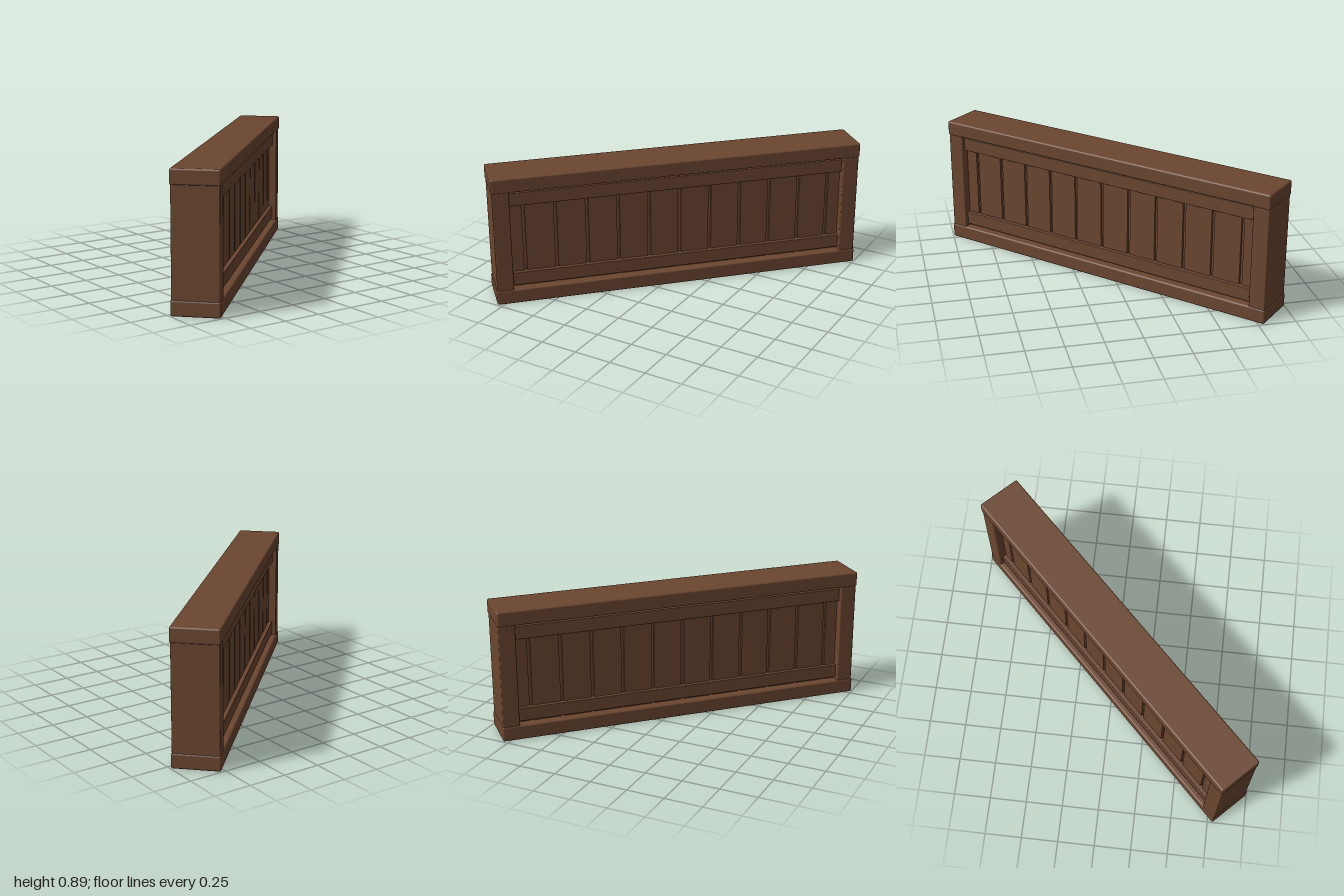
import * as THREE from 'three';
import { RoundedBoxGeometry } from 'three/addons/geometries/RoundedBoxGeometry.js';

const LENGTH = 2.522, DEPTH = 0.306, HEIGHT = 0.89;
const RAIL = 0.1;          // height of plinth and cap
const POST_IN = 1.145;     // inner edge of the end posts
const GROOVE = 0.02, PITCH = 0.2107, GROOVES = 11;

export function createModel() {
  const wood = new THREE.MeshStandardMaterial({ color: 0x6b4630 });
  wood.name = 'brown wood';

  const model = new THREE.Group();
  model.name = 'panelledCounter';

  const add = (name, geometry, x, y, z) => {
    const mesh = new THREE.Mesh(geometry, wood);
    mesh.name = name;
    mesh.position.set(x, y, z);
    model.add(mesh);
  };
  const rounded = (w, h, d, r) => new RoundedBoxGeometry(w, h, d, 2, r);

  // Plinth and cap, slightly proud of the posts
  add('plinth', rounded(LENGTH, RAIL, DEPTH, 0.012), 0, RAIL / 2, 0);
  add('cap', rounded(LENGTH, RAIL, DEPTH, 0.012), 0, HEIGHT - RAIL / 2, 0);

  // End posts
  const postW = LENGTH / 2 - 0.005 - POST_IN;
  const postH = HEIGHT - 2 * RAIL + 0.04;
  for (const side of [-1, 1]) {
    add('endPost', rounded(postW, postH, DEPTH - 0.01, 0.008),
      side * (POST_IN + postW / 2), HEIGHT / 2, 0);
  }

  // Core seen at the bottom of the grooves
  const innerH = HEIGHT - 2 * RAIL + 0.02;
  add('core', new THREE.BoxGeometry(2 * POST_IN + 0.02, innerH, 0.15), 0, HEIGHT / 2, 0);

  // Board edges: the two posts with the evenly spaced grooves between them
  const grooves = Array.from({ length: GROOVES }, (_, i) => (i - (GROOVES - 1) / 2) * PITCH);
  const starts = [-POST_IN, ...grooves.map((g) => g + GROOVE / 2)];
  const ends = [...grooves.map((g) => g - GROOVE / 2), POST_IN];

  for (const face of [-1, 1]) {
    // Vertical boards
    starts.forEach((start, i) => {
      add('board', new THREE.BoxGeometry(ends[i] - start, innerH, 0.03),
        (start + ends[i]) / 2, HEIGHT / 2, face * 0.077);
    });
    // Horizontal trim above and below the boards
    for (const y of [0.161, HEIGHT - 0.161]) {
      add('trim', rounded(2 * POST_IN, 0.09, 0.04, 0.003), 0, y, face * 0.1);
    }
  }

  // The counter stands on the diagonal
  model.rotation.y = -Math.PI / 4;
  const root = new THREE.Group();
  root.name = 'counter';
  root.add(model);
  return root;
}
